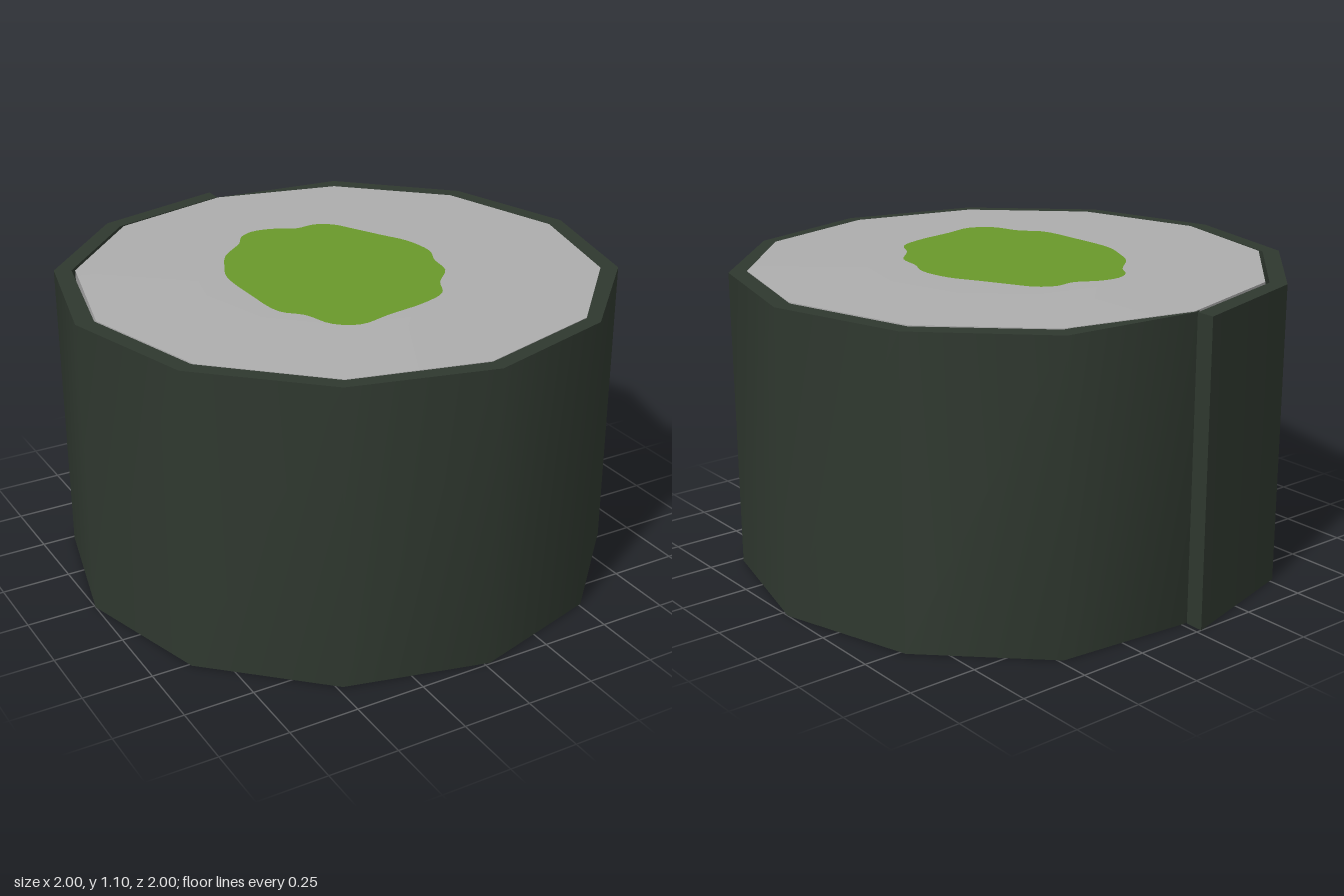
import * as THREE from 'three';
import { mergeGeometries } from 'three/addons/utils/BufferGeometryUtils.js';

// Smooth strip of quads between two rows of [x, y, z] points
function strip(p, q) {
  const n = p.length, index = [];
  for (let i = 0; i < n - 1; i++) index.push(i, i + 1, n + i + 1, i, n + i + 1, n + i);
  const g = new THREE.BufferGeometry();
  g.setAttribute('position', new THREE.Float32BufferAttribute([...p, ...q].flat(), 3));
  g.setIndex(index);
  g.computeVertexNormals();
  return g;
}

// Lift [x, z] points to height y, optionally scaled about the centre
const at = (pts, y, s = 1) => pts.map(([x, z]) => [x * s, y, z * s]);

export function createModel() {
  const model = new THREE.Group();
  const mat = (name, color, side = THREE.FrontSide) => {
    const m = new THREE.MeshStandardMaterial({ color, side });
    m.name = name;
    return m;
  };
  const seaweedMat = mat('dark seaweed', 0x2f382f);
  const riceMat = mat('rice grey', 0xadadad);
  const fillingMat = mat('filling green', 0x69992b);
  const add = (name, geometry, material) => {
    const mesh = new THREE.Mesh(geometry, material);
    mesh.name = name;
    model.add(mesh);
    return mesh;
  };

  // Seaweed sheet: once around, with its end tucked inside at the back
  const outer = [[-0.02, -1], [-0.52, -0.86], [-0.88, -0.49], [-1, 0.01], [-0.86, 0.51], [-0.48, 0.87],
    [0.02, 0.995], [0.51, 0.85], [0.875, 0.48], [1, -0.03], [0.855, -0.52], [0.485, -0.88],
    [-0.02, -0.928], [-0.3, -0.78]];
  const inner = [[-0.02, -0.932], [-0.49, -0.805], [-0.825, -0.46], [-0.935, 0.015], [-0.805, 0.485], [-0.45, 0.825],
    [0.02, 0.935], [0.485, 0.8], [0.815, 0.45], [0.935, -0.02], [0.8, -0.49], [0.45, -0.82],
    [-0.035, -0.865], [-0.33, -0.725]];
  const H = 1.09, last = outer.length - 1;
  const startEdge = [inner[0], outer[0]], endEdge = [outer[last], inner[last]];
  add('seaweedWrap', mergeGeometries([
    strip(at(outer, 0), at(outer, H)),
    strip(at(inner, H), at(inner, 0)),
    strip(at(outer, H), at(inner, H)),
    strip(at(inner, 0), at(outer, 0)),
    strip(at(startEdge, 0), at(startEdge, H)),
    strip(at(endEdge, 0), at(endEdge, H)),
  ]), seaweedMat);

  // Rice core: twelve-sided, slightly raised on top and hollowed below
  const rice = [[-0.02, -0.922], [-0.48, -0.795], [-0.815, -0.45], [-0.93, 0.02], [-0.8, 0.49], [-0.45, 0.825],
    [0.02, 0.937], [0.49, 0.8], [0.815, 0.455], [0.932, -0.01], [0.795, -0.485], [0.45, -0.815]];
  rice.push(rice[0]);
  const yTop = 1.092, yCrown = 1.099, yBase = 0.01, yHollow = 0.04, mid = 0.56;
  add('riceCore', mergeGeometries([
    strip(at(rice, yBase), at(rice, yTop)),
    strip(at(rice, yTop), at(rice, yCrown, mid)),
    strip(at(rice, yCrown, mid), at(rice, yCrown, 0)),
    strip(at(rice, yHollow, mid), at(rice, yBase)),
    strip(at(rice, yHollow, 0), at(rice, yHollow, mid)),
  ]), riceMat);

  // Filling on top: an uneven rounded patch
  const blob = [[-0.1, -0.47], [-0.02, -0.46], [0.06, -0.42], [0.14, -0.425], [0.2, -0.39], [0.25, -0.3],
    [0.3, -0.2], [0.35, -0.1], [0.365, 0.03], [0.33, 0.12], [0.31, 0.22], [0.23, 0.31], [0.18, 0.4],
    [0.08, 0.445], [-0.08, 0.475], [-0.2, 0.5], [-0.28, 0.45], [-0.32, 0.34], [-0.38, 0.27],
    [-0.395, 0.1], [-0.39, -0.1], [-0.35, -0.2], [-0.3, -0.29], [-0.2, -0.38], [-0.16, -0.44]];
  const curve = new THREE.CatmullRomCurve3(blob.map(([x, z]) => new THREE.Vector3(x, -z, 0)), true);
  const topShape = new THREE.Shape(curve.getPoints(100).map((v) => new THREE.Vector2(v.x, v.y)));
  add('fillingTop', new THREE.ShapeGeometry(topShape).rotateX(-Math.PI / 2), fillingMat).position.y = yCrown + 0.004;

  // Filling below: a smooth oval
  const oval = new THREE.CircleGeometry(1, 48).scale(0.39, 0.48, 1).rotateX(Math.PI / 2);
  add('fillingBottom', oval, fillingMat).position.set(0.03, yHollow - 0.004, -0.03);

  return model;
}
